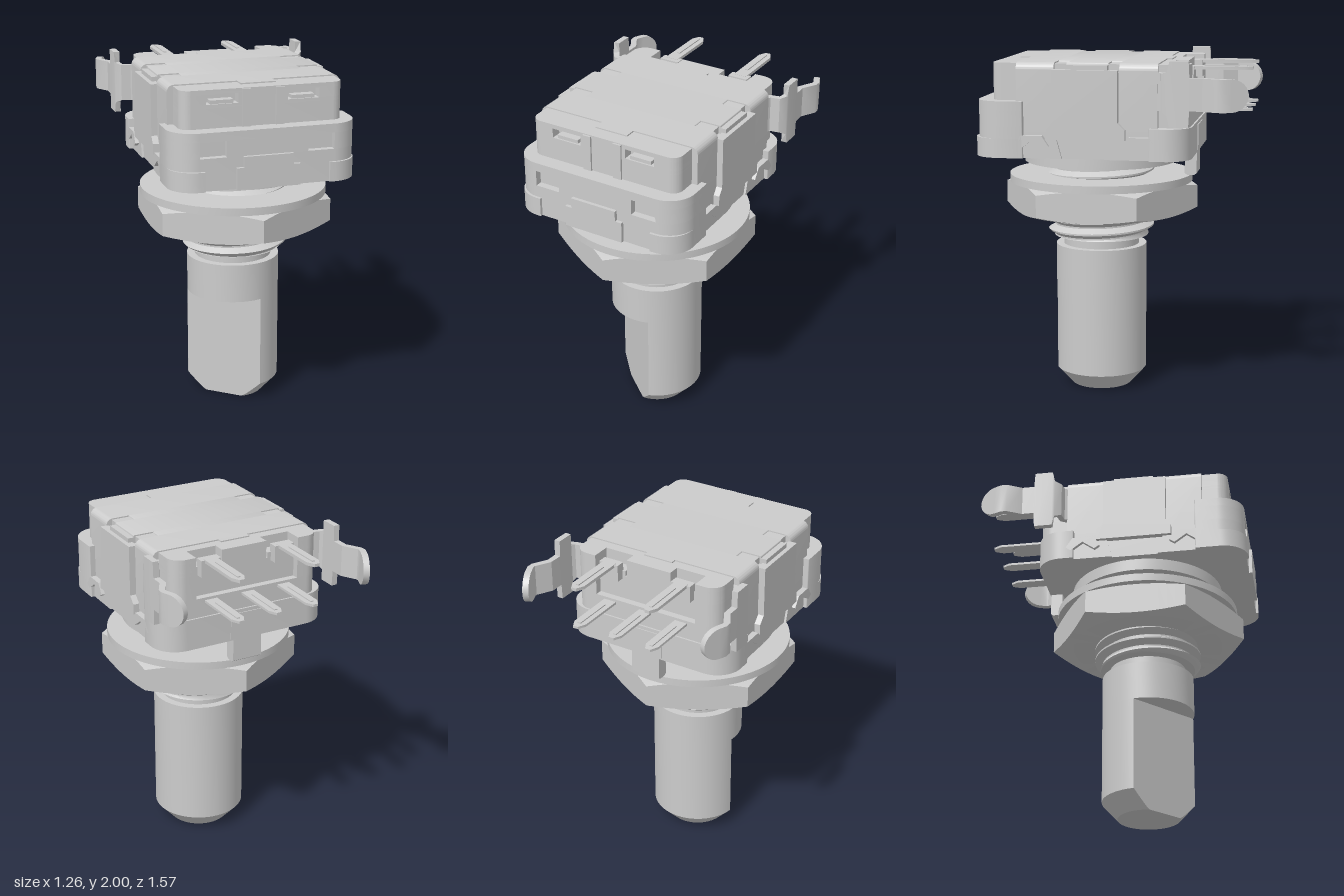
import * as THREE from 'three';
import { toCreasedNormals } from 'three/addons/utils/BufferGeometryUtils.js';

export function createModel() {
  const model = new THREE.Group();
  const grey = new THREE.MeshStandardMaterial({ color: 0xcccccc });
  grey.name = 'light grey';
  const AXIS = 0.125; // z of the shaft axis

  const add = (name, geo, z = 0) => {
    const mesh = new THREE.Mesh(toCreasedNormals(geo, 0.5), grey);
    mesh.name = name;
    mesh.position.z = z;
    model.add(mesh);
  };
  const box = (name, x0, x1, y0, y1, z0, z1) => {
    const g = new THREE.BoxGeometry(x1 - x0, y1 - y0, z1 - z0);
    add(name, g.translate((x0 + x1) / 2, (y0 + y1) / 2, (z0 + z1) / 2));
  };
  const extrude = (shape, depth) =>
    new THREE.ExtrudeGeometry(shape, { depth, bevelEnabled: false, curveSegments: 8 });
  const poly = (pts) => new THREE.Shape(pts.map((p) => new THREE.Vector2(...p)));
  // plan outline (x, z) raised from y0 to y1
  const rise = (name, shape, y0, y1) =>
    add(name, extrude(shape, y1 - y0).rotateX(Math.PI / 2).translate(0, y1, 0));
  // side outline (z, y) given thickness along x
  const sidePlate = (name, pts, x0, x1) =>
    add(name, extrude(poly(pts), x1 - x0).rotateY(-Math.PI / 2).translate(x1, 0, 0));
  const lathe = (pts, seg = 72) =>
    new THREE.LatheGeometry(pts.map((p) => new THREE.Vector2(...p)), seg);
  const bend = (geo, rule) => {
    const p = geo.attributes.position, v = new THREE.Vector3();
    for (let i = 0; i < p.count; i++) {
      v.fromBufferAttribute(p, i);
      rule(v, i);
      p.setXYZ(i, v.x, v.y, v.z);
    }
    return geo;
  };

  // rounded slab; back and front list mirrored steps [x, z] from the centre outward
  const slab = (name, hx, z0, z1, rb, rf, y0, y1, back = [], front = []) => {
    const s = new THREE.Shape(), q = Math.PI / 2;
    const mirror = (l) => [...l.map(([x, z]) => [-x, z]).reverse(), ...l];
    s.moveTo(-hx, z0 + rb);
    s.absarc(-hx + rb, z0 + rb, rb, 2 * q, 3 * q);
    mirror(back).forEach((p) => s.lineTo(...p));
    s.absarc(hx - rb, z0 + rb, rb, 3 * q, 4 * q);
    s.absarc(hx - rf, z1 - rf, rf, 0, q);
    mirror(front).reverse().forEach((p) => s.lineTo(...p));
    s.absarc(-hx + rf, z1 - rf, rf, q, 2 * q);
    rise(name, s, y0, y1);
  };

  // Shaft with a flat cut on one side; the flat trims the end chamfer too
  const flatAngle = THREE.MathUtils.degToRad(130);
  const rows = [[0, 0], [0.18, 0], [0.27, 0.1], [0.27, 0.64], [0.27, 0.64], [0.27, 0.865],
    [0.225, 0.865], [0.225, 0.92], [0.28, 0.92]];
  add('shaft', bend(lathe(rows), (v, i) => {
    const row = i % rows.length, c = Math.cos(Math.atan2(v.z, v.x) - flatAngle);
    const limit = c > 0.499 ? 0.135 / c : 0.27, r = Math.hypot(v.x, v.z);
    if (row < 1 || row > 3 || limit >= 0.27) return;
    const k = Math.min(r, limit) / r;
    v.x *= k; v.z *= k;
    if (row === 2) v.y = Math.max(0, (limit - 0.18) / 0.9);
  }), AXIS);

  // Helical thread
  const pitch = 0.0675, thread = [];
  for (let y = 0.92 - 2 * pitch; y < 1.38; y += pitch) {
    thread.push([0.272, y], [0.315, y + 0.024], [0.315, y + 0.034], [0.272, y + 0.058]);
  }
  add('thread', bend(lathe(thread), (v, i) => {
    const turn = Math.floor(i / thread.length) / 72;
    v.y = THREE.MathUtils.clamp(v.y + pitch * turn, 0.92, 1.375);
    const r = Math.hypot(v.x, v.z), k = Math.min(r, 0.28 + v.y - 0.92) / r;
    v.x *= k; v.z *= k;
  }), AXIS);

  // Hexagonal nut with chamfered corners
  const nut = [[0, 1.07], [0.5, 1.07], [0.55, 1.07], [0.55, 1.25], [0.5, 1.25], [0, 1.25]];
  add('nut', bend(lathe(nut), (v, i) => {
    const row = i % 6;
    if (row !== 2 && row !== 3) return;
    const t = Math.atan2(v.x, v.z), sector = Math.PI / 3;
    const off = ((t + 2 * Math.PI) % sector) - sector / 2;
    const r = 0.5 / Math.cos(off), drop = (r - 0.5) * 0.33;
    v.set(Math.sin(t) * r, row === 2 ? 1.07 + drop : 1.25 - drop, Math.cos(t) * r);
  }), AXIS);

  // Washer and bushing flange
  add('washer', new THREE.CylinderGeometry(0.542, 0.542, 0.045, 72).translate(0, 1.272, 0), AXIS);
  add('flange', new THREE.CylinderGeometry(0.452, 0.452, 0.07, 72).translate(0, 1.405, 0), AXIS);

  // Front housing block with two small windows
  slab('frontBase', 0.53, 0.48, 0.76, 0.005, 0.15, 1.44, 1.62);
  slab('frontBaseWindows', 0.53, 0.48, 0.76, 0.005, 0.15, 1.62, 1.71, [],
    [[0.23, 0.76], [0.23, 0.72], [0.38, 0.72], [0.38, 0.76]]);
  slab('frontBaseTop', 0.53, 0.48, 0.76, 0.005, 0.15, 1.71, 1.76);
  slab('frontBaseFoot', 0.53, 0.5, 0.775, 0.005, 0.15, 1.44, 1.55, [],
    [[0.35, 0.755], [0.352, 0.775]]);
  box('frontTabLower', -0.18, 0.18, 1.44, 1.56, 0.7, 0.78);
  box('frontTabUpper', -0.14, 0.14, 1.56, 1.62, 0.7, 0.78);

  // Back housing block
  slab('backBase', 0.53, -0.46, -0.235, 0.15, 0.005, 1.44, 1.62);
  box('middleBase', -0.495, 0.495, 1.44, 1.6, -0.25, 0.5);

  // Upper housing, front windows and back pin recesses
  const recess = [[0.14, -0.41], [0.14, -0.34], [0.32, -0.34], [0.32, -0.45]];
  const windows = [[0.14, 0.67], [0.14, 0.61], [0.32, 0.61], [0.32, 0.67]];
  slab('upperBody', 0.46, -0.45, 0.67, 0.08, 0.06, 1.5, 1.73);
  slab('upperBodyPanel', 0.46, -0.45, 0.67, 0.08, 0.06, 1.73, 1.87, [[0.32, -0.41], [0.32, -0.45]]);
  slab('upperBodySill', 0.46, -0.45, 0.67, 0.08, 0.06, 1.87, 1.89, recess);
  slab('upperBodyWindows', 0.46, -0.45, 0.67, 0.08, 0.06, 1.89, 1.945, recess, windows);
  slab('upperBodyTop', 0.46, -0.45, 0.67, 0.08, 0.06, 1.945, 1.97, recess);
  for (const s of [-1, 1]) {
    box('windowTooth', s * 0.23 - 0.065, s * 0.23 + 0.065, 1.89, 1.91, 0.6, 0.66);
    box('frontRib', s * 0.095 - 0.025, s * 0.095 + 0.025, 1.76, 1.965, 0.66, 0.682);
    box('pinSeat', s * 0.23 - 0.08, s * 0.23 + 0.08, 1.87, 1.9, -0.41, -0.33);
  }

  // Metal cover, split along z so that the side slots stay open
  const cover = (name, hx, y0, y1, r, z0, z1) => {
    const s = new THREE.Shape();
    s.moveTo(-hx, y0);
    s.lineTo(hx, y0);
    s.absarc(hx - r, y1 - r, r, 0, Math.PI / 2);
    s.absarc(-hx + r, y1 - r, r, Math.PI / 2, Math.PI);
    add(name, extrude(s, z1 - z0).translate(0, 0, z0));
  };
  cover('coverBack', 0.495, 1.56, 1.977, 0.04, -0.28, -0.065);
  cover('coverMiddle', 0.47, 1.56, 1.977, 0.005, 0, 0.235);
  cover('coverFront', 0.495, 1.56, 1.977, 0.04, 0.305, 0.52);
  for (const [z0, z1] of [[-0.065, 0], [0.235, 0.305]]) {
    cover('slotCover', 0.35, 1.9, 1.977, 0.005, z0, z1);
    cover('slotFloor', 0.49, 1.56, 1.93, 0.005, z0, z1);
  }
  box('coverFrontTab', -0.1, 0.1, 1.94, 1.977, 0.5, 0.585);
  box('coverBackTab', -0.09, 0.09, 1.94, 1.977, -0.31, -0.27);

  // Side straps with bent hooks
  const strap = [[-0.06, 1.94], [-0.06, 1.65], [-0.1, 1.61], [-0.1, 1.55], [0.34, 1.55],
    [0.34, 1.61], [0.31, 1.65], [0.31, 1.94]];
  const hook = (c) => [[-0.1, 1.51], [-0.07, 1.49], [0, 1.54], [0.07, 1.49], [0.1, 1.51],
    [0.06, 1.57], [-0.06, 1.57]].map(([z, y]) => [z + c, y]);
  for (const s of [-1, 1]) {
    const side = (name, pts, inner, outer) =>
      sidePlate(name, pts, Math.min(s * inner, s * outer), Math.max(s * inner, s * outer));
    side('strap', strap, 0.48, 0.53);
    side('strapShoulder', [[0, 1.965], [0, 1.9], [0.235, 1.9], [0.235, 1.965]], 0.46, 0.505);
    for (const c of [0.43, -0.18]) {
      side('hook', hook(c), 0.48, 0.53);
      side('hookBase', [[c - 0.17, 1.44], [c + 0.17, 1.44], [c + 0.14, 1.55], [c - 0.14, 1.55]],
        0.48, 0.508);
    }
  }

  // Mounting lugs: thick ribbon through stations [x, z, yLow, yHigh]
  const ribbon = (st, t, s) => {
    const pos = [], idx = [];
    st.forEach(([x, z, lo, hi], i) => {
      const p = st[Math.max(i - 1, 0)], n = st[Math.min(i + 1, st.length - 1)];
      const dx = n[0] - p[0], dz = n[1] - p[1], l = Math.hypot(dx, dz);
      const ox = (-dz / l) * t / 2, oz = (dx / l) * t / 2;
      pos.push(s * (x + ox), lo, z + oz, s * (x - ox), lo, z - oz,
        s * (x - ox), hi, z - oz, s * (x + ox), hi, z + oz);
    });
    const quad = (a, b, c, d) => (s < 0 ? idx.push(a, b, c, a, c, d) : idx.push(a, c, b, a, d, c));
    for (let i = 0; i < st.length - 1; i++) {
      for (let k = 0; k < 4; k++) {
        const a = i * 4 + k, b = i * 4 + (k + 1) % 4;
        quad(a, a + 4, b + 4, b);
      }
    }
    const e = (st.length - 1) * 4;
    quad(0, 1, 2, 3);
    quad(e + 3, e + 2, e + 1, e);
    const g = new THREE.BufferGeometry();
    g.setAttribute('position', new THREE.Float32BufferAttribute(pos, 3));
    g.setIndex(idx);
    return g;
  };
  const lug = [[0.47, -0.27, 1.72, 1.93], [0.49, -0.31, 1.72, 1.93], [0.545, -0.32, 1.72, 1.93],
    [0.567, -0.35, 1.7, 1.94], [0.567, -0.355, 1.64, 2.0], [0.567, -0.46, 1.64, 2.0],
    [0.567, -0.465, 1.73, 1.91], [0.567, -0.54, 1.73, 1.91], [0.615, -0.625, 1.73, 1.91],
    [0.615, -0.65, 1.73, 1.91]];
  for (let i = 0; i <= 6; i++) { // round tip
    const t = (i / 6) * Math.PI / 2, h = Math.max(0.09 * Math.cos(t), 0.008), k = Math.sin(t);
    lug.push([0.598 - 0.038 * k, -0.69 - 0.09 * k, 1.82 - h, 1.82 + h]);
  }
  for (const s of [-1, 1]) add('mountingLug', ribbon(lug, 0.035, s));

  // Terminal pins: two above, three below
  const pin = (x, y, t, z0) => {
    rise('pin', poly([[x - 0.038, z0], [x - 0.038, -0.74], [x - 0.015, -0.785],
      [x + 0.015, -0.785], [x + 0.038, -0.74], [x + 0.038, z0]]), y - t / 2, y + t / 2);
    box('pinRib', x - 0.009, x + 0.009, y, y + t / 2 + 0.006, -0.75, -0.51);
  };
  for (const x of [-0.23, 0.23]) {
    pin(x, 1.94, 0.018, -0.43);
    box('pinBend', x - 0.06, x + 0.06, 1.85, 1.947, -0.455, -0.4);
  }
  for (const x of [-0.23, 0, 0.23]) pin(x, 1.708, 0.014, -0.4);

  // Locating tab under the back
  sidePlate('locatingTab', [[-0.455, 1.6], [-0.455, 1.31], [-0.44, 1.3], [-0.4, 1.3],
    [-0.385, 1.31], [-0.385, 1.6]], -0.09, 0.09);
  box('backTab', -0.11, 0.11, 1.45, 1.6, -0.465, -0.4);

  return model;
}
